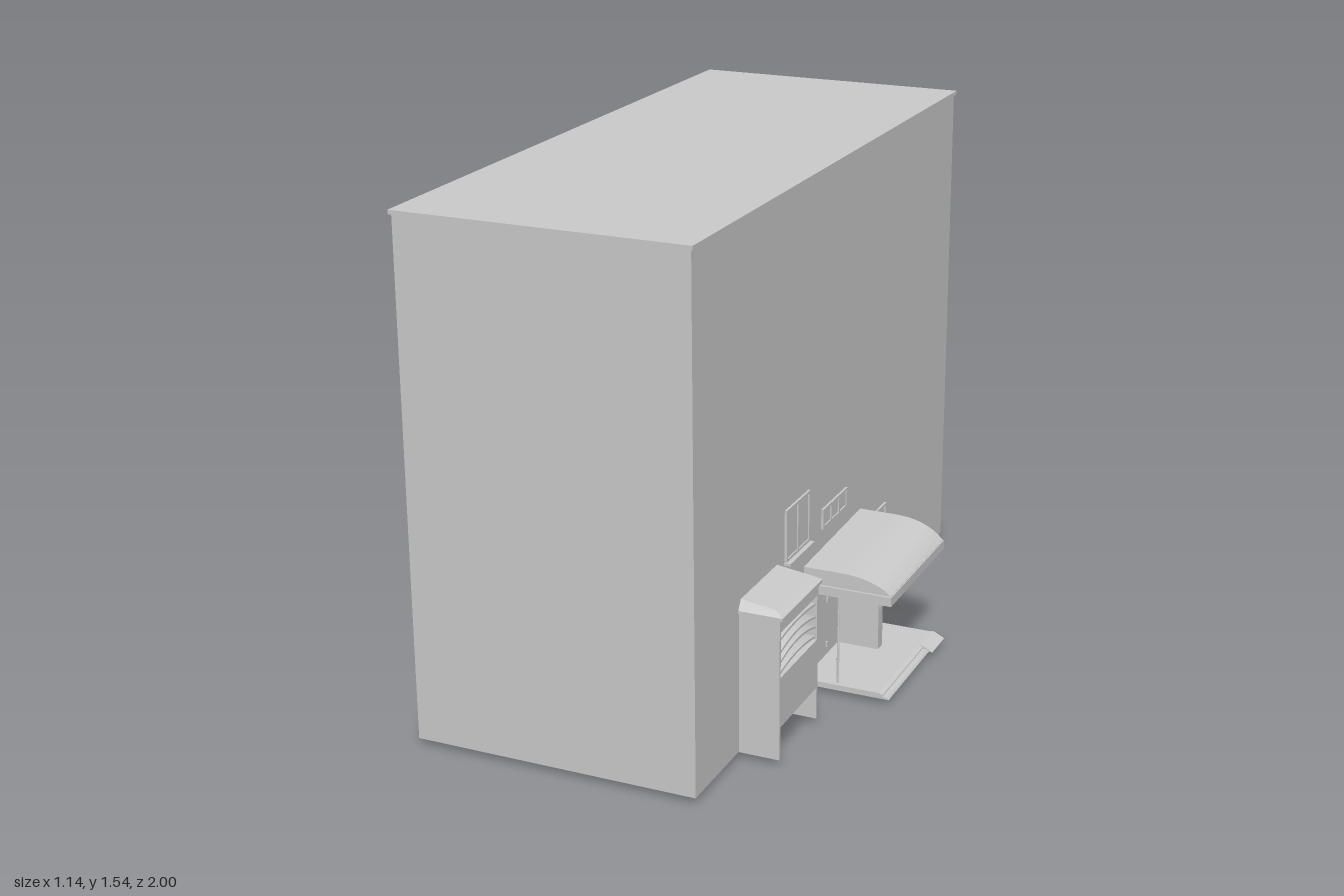
import * as THREE from 'three';

const mat = new THREE.MeshStandardMaterial({ color: 0xcccccc, flatShading: true, side: THREE.DoubleSide });

function add(parent, name, geo) {
  const mesh = new THREE.Mesh(geo, mat);
  mesh.name = name;
  parent.add(mesh);
  return mesh;
}

// Box given by its limits on each axis
function block(parent, name, [x0, x1], [y0, y1], [z0, z1]) {
  const geo = new THREE.BoxGeometry(x1 - x0, y1 - y0, z1 - z0);
  geo.translate((x0 + x1) / 2, (y0 + y1) / 2, (z0 + z1) / 2);
  return add(parent, name, geo);
}

// Side profile in x/y swept along z
function sweep(parent, name, points, z0, z1) {
  const shape = new THREE.Shape(points.map(p => new THREE.Vector2(...p)));
  const geo = new THREE.ExtrudeGeometry(shape, { depth: z1 - z0, bevelEnabled: false });
  geo.translate(0, 0, z0);
  return add(parent, name, geo);
}

// Framed window lying on the +x wall, split into equal panes
function wallWindow(parent, name, [y0, y1], [z0, z1], panes) {
  const g = new THREE.Group();
  g.name = name;
  const t = 0.008, x = 0.285;
  block(g, 'glass', [x, x + 0.003], [y0, y1], [z0, z1]);
  for (const y of [y0, y1 - t]) block(g, 'rail', [x, x + 0.007], [y, y + t], [z0, z1]);
  for (let i = 0; i <= panes; i++) {
    const z = z0 + (z1 - z0 - t) * i / panes;
    block(g, 'mullion', [x, x + 0.007], [y0, y1], [z, z + t]);
  }
  parent.add(g);
}

function building() {
  const g = new THREE.Group();
  g.name = 'building';
  // Walls as an outline swept upward, open underneath
  const xs = [-0.565, 0.285], zs = [-0.994, 0.994];
  for (const x of xs) {
    const geo = new THREE.PlaneGeometry(1.988, 1.51);
    geo.rotateY(Math.sign(x) * Math.PI / 2);
    add(g, 'longWall', geo.translate(x, 0.775, 0));
  }
  for (const z of zs) {
    const geo = new THREE.PlaneGeometry(0.85, 1.51);
    if (z < 0) geo.rotateY(Math.PI);
    add(g, 'endWall', geo.translate(-0.14, 0.775, z));
  }
  block(g, 'roofSlab', [-0.572, 0.292], [1.528, 1.54], [-1, 1]);
  return g;
}

function kiosk() {
  const g = new THREE.Group();
  g.name = 'kiosk';
  const x = [0.285, 0.405], z = [0.431, 0.709], inner = [0.439, 0.701];
  block(g, 'rightSide', x, [0.018, 0.44], [z[0], inner[0]]);
  block(g, 'leftSide', x, [0.018, 0.44], [inner[1], z[1]]);
  block(g, 'counterBody', x, [0.115, 0.265], inner);
  block(g, 'header', x, [0.4, 0.44], inner);
  block(g, 'shelfBack', [0.285, 0.33], [0.265, 0.4], inner);

  // Bowed shelves with arched front edges
  for (const [y, rise] of [[0.272, 0.014], [0.302, 0.02], [0.332, 0.018], [0.372, 0.01]]) {
    const geo = new THREE.BoxGeometry(0.07, 0.007, 0.262, 1, 1, 10);
    const p = geo.attributes.position;
    for (let i = 0; i < p.count; i++) {
      p.setY(i, p.getY(i) + rise * (1 - (p.getZ(i) / 0.131) ** 2));
    }
    geo.translate(0.365, y, 0.57);
    add(g, 'shelf', geo);
  }

  // Eave slab and hipped cap, highest against the wall
  block(g, 'eave', [0.285, 0.415], [0.438, 0.447], [0.425, 0.714]);
  const cap = new THREE.BoxGeometry(0.13, 0.02, 0.286);
  const p = cap.attributes.position;
  for (let i = 0; i < p.count; i++) {
    if (p.getY(i) < 0) continue;
    const front = p.getX(i) > 0;
    p.setXYZ(i, front ? 0.038 : -0.065, front ? 0.004 : 0.018, p.getZ(i) * 0.88);
  }
  cap.translate(0.35, 0.457, 0.57);
  add(g, 'hippedCap', cap);
  return g;
}

function entrance() {
  const g = new THREE.Group();
  g.name = 'entrance';

  // Platform with a rounded nose, a step along the front and a ramp at one end
  sweep(g, 'platform', [[0.285, 0.018], [0.54, 0.018], [0.535, 0.03], [0.525, 0.035], [0.285, 0.035]], -0.205, 0.25);
  sweep(g, 'step', [[0.53, 0.018], [0.555, 0.018], [0.55, 0.024], [0.53, 0.026]], -0.1, 0.25);
  sweep(g, 'ramp', [[0.525, 0.018], [0.567, 0.018], [0.535, 0.034], [0.525, 0.035]], -0.21, -0.1);
  block(g, 'foundation', [0.285, 0.295], [0, 0.02], [-0.205, 0.25]);

  // Curved canopy; its crown rises a little toward the far end
  const curve = new THREE.QuadraticBezierCurve(
    new THREE.Vector2(0.395, 0.388), new THREE.Vector2(0.5, 0.388), new THREE.Vector2(0.552, 0.342));
  const profile = [[0.285, 0.34], [0.552, 0.34], ...curve.getPoints(8).reverse().map(v => [v.x, v.y]), [0.285, 0.388]];
  const canopy = sweep(g, 'canopy', profile, -0.21, 0.243);
  const p = canopy.geometry.attributes.position;
  for (let i = 0; i < p.count; i++) {
    const k = Math.max(0, (p.getY(i) - 0.342) / 0.046);
    p.setY(i, p.getY(i) + k * 0.012 * (0.243 - p.getZ(i)) / 0.453);
  }
  canopy.geometry.computeVertexNormals();
  block(g, 'fascia', [0.285, 0.556], [0.313, 0.341], [-0.212, 0.25]);

  // Supports
  block(g, 'finWall', [0.285, 0.42], [0.035, 0.313], [-0.058, -0.022]);
  block(g, 'noticeBoard', [0.42, 0.424], [0.165, 0.23], [-0.045, -0.028]);
  const pole = new THREE.CylinderGeometry(0.004, 0.004, 0.278, 8);
  add(g, 'pole', pole.translate(0.39, 0.174, 0.232));

  // Door leaf with hinges and a handle
  block(g, 'door', [0.285, 0.29], [0.035, 0.313], [-0.022, 0.235]);
  for (const y of [0.07, 0.215]) block(g, 'doorHinge', [0.29, 0.295], [y - 0.008, y + 0.008], [0.07, 0.077]);
  block(g, 'doorHandle', [0.29, 0.296], [0.132, 0.137], [0.165, 0.172]);
  return g;
}

export function createModel() {
  const model = new THREE.Group();
  model.name = 'storefront';
  model.add(building(), kiosk(), entrance());

  // Windows along the street wall
  wallWindow(model, 'tallWindow', [0.46, 0.617], [0.215, 0.39], 2);
  wallWindow(model, 'stripWindow', [0.455, 0.517], [-0.083, 0.112], 3);
  wallWindow(model, 'leftShopWindow', [0.115, 0.342], [0.25, 0.431], 1);
  wallWindow(model, 'rightShopWindow', [0.115, 0.342], [-0.425, -0.058], 1);
  block(model, 'windowSill', [0.285, 0.305], [0.451, 0.459], [0.212, 0.393]);
  return model;
}
